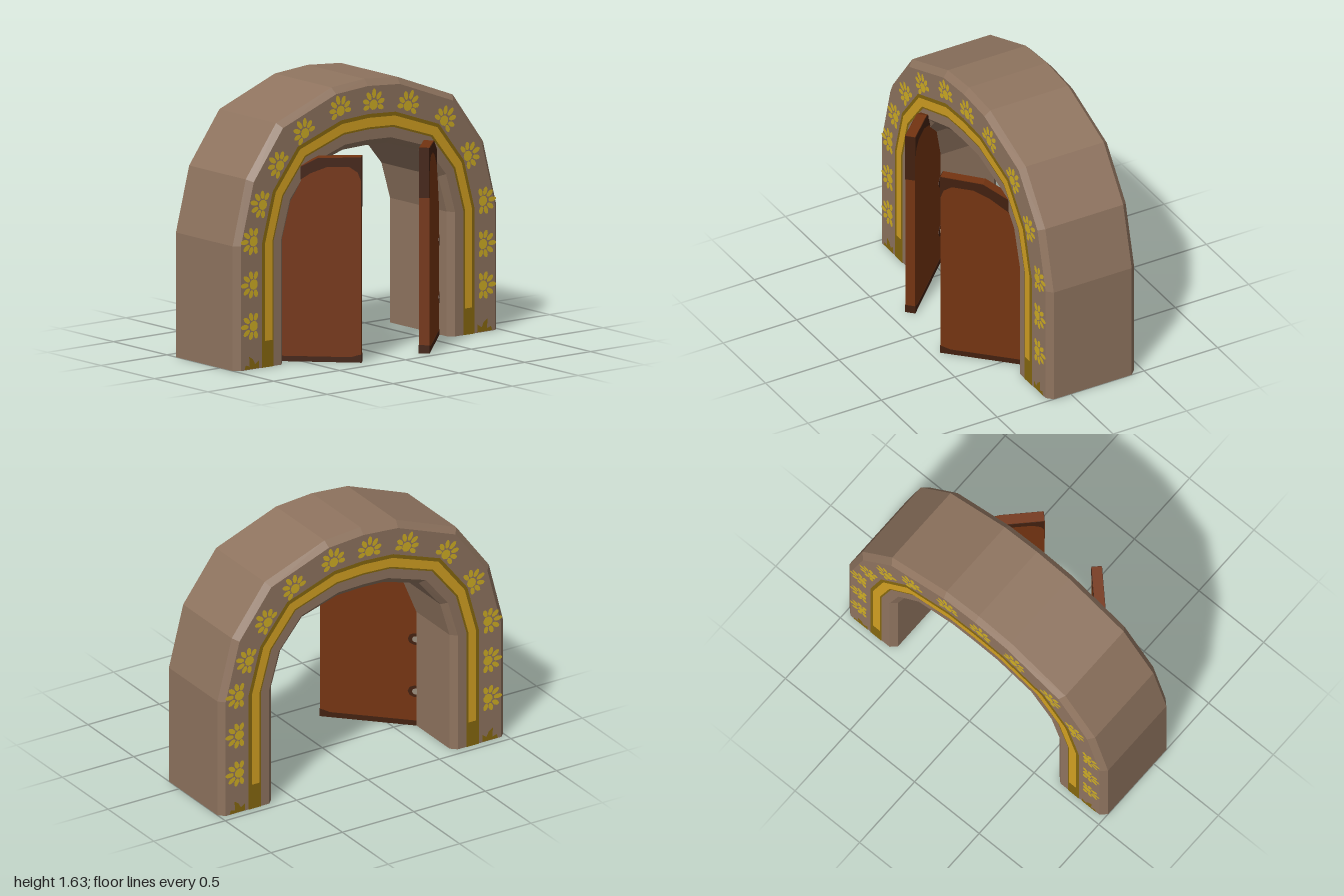
import * as THREE from 'three';

const mat = (name, color, side = THREE.FrontSide) => {
  const m = new THREE.MeshStandardMaterial({ color, side });
  m.name = name;
  return m;
};
const stone = mat('stone', 0x8f745f);
const gold = mat('gold', 0xd2a022);
const petal = mat('petal yellow', 0xd0ae24);
const olive = mat('dark olive', 0x86680f);
const wood = mat('wood', 0x743411);
const darkWood = mat('dark wood', 0x42200f);
const iron = mat('hinge grey', 0x988b7a);

// Arch stations on the right half: outer x, y, inner x, y
const half = [
  [1, 0, 0.625, 0], [1, 0.75, 0.625, 0.75], [0.9, 1.14, 0.56, 0.97],
  [0.67, 1.45, 0.41, 1.15], [0.25, 1.61, 0.165, 1.225],
];
const stations = [...half, [0, 1.63, 0, 1.23],
  ...half.slice().reverse().map(([a, b, c, d]) => [-a, b, -c, d])];

// Point on a station: f = 0 at the outer edge, 1 at the inner edge
const at = ([ox, oy, ix, iy], f, z) => [ox + (ix - ox) * f, oy + (iy - oy) * f, z];

function facets(triangles) {
  const g = new THREE.BufferGeometry();
  g.setAttribute('position', new THREE.Float32BufferAttribute(triangles.flat(), 3));
  g.computeVertexNormals();
  return g;
}

// Surface strip that follows the arch between two lines (f, z)
function strip(path, [f0, z0], [f1, z1]) {
  const t = [];
  for (let i = 0; i < path.length - 1; i++) {
    const a = at(path[i], f0, z0), b = at(path[i + 1], f0, z0);
    const c = at(path[i + 1], f1, z1), d = at(path[i], f1, z1);
    t.push(a, b, c, a, c, d);
  }
  return t;
}

function add(parent, name, geometry, material) {
  const m = new THREE.Mesh(geometry, material);
  m.name = name;
  parent.add(m);
  return m;
}

const polygon = (points, m = 1) =>
  new THREE.Shape(points.map(([x, y]) => new THREE.Vector2(x * m, y)));

// Bevelled stone arch with closed feet
function archGeometry() {
  const ring = [[0, 0.115], [0.095, 0.15], [0.905, 0.15], [1, 0.115],
    [1, -0.415], [0.905, -0.45], [0.095, -0.45], [0, -0.415]];
  const t = [];
  ring.forEach((p, i) => t.push(...strip(stations, p, ring[(i + 1) % 8])));
  const first = ring.map(([f, z]) => at(stations[0], f, z));
  const last = ring.map(([f, z]) => at(stations[stations.length - 1], f, z));
  for (let i = 1; i < 7; i++) {
    t.push(first[0], first[i], first[i + 1], last[0], last[i + 1], last[i]);
  }
  return facets(t);
}

// Round heart with a fan of petals, pointing along local +y
function flower(parent, x, y, angle, size, material) {
  const g = new THREE.Group();
  g.name = 'flower';
  add(g, 'flowerHeart', new THREE.CircleGeometry(0.034, 10), material);
  const petalShape = new THREE.Shape();
  petalShape.absellipse(0, 0.074, 0.0165, 0.032, 0, Math.PI * 2);
  const petalGeo = new THREE.ShapeGeometry(petalShape, 5);
  for (let i = -3; i <= 3; i++) {
    const p = add(g, 'petal', petalGeo, material);
    p.rotation.z = i * 0.62;
    p.scale.y = 1 - 0.06 * Math.abs(i);
  }
  g.position.set(x, y, 0.153);
  g.rotation.z = angle;
  g.scale.setScalar(size);
  parent.add(g);
}

// Painted band and flowers for one face of the arch
function decoration() {
  const g = new THREE.Group();
  g.name = 'paintedFace';
  add(g, 'bandOutline', facets(strip(stations, [0.515, 0.153], [0.745, 0.153])), olive);
  const raised = stations.map((s) => (s[1] === 0 ? [s[0], 0.16, s[2], 0.16] : s));
  add(g, 'goldBand', facets(strip(raised, [0.572, 0.156], [0.715, 0.156])), gold);

  const spots = [
    [-0.87, 0.26], [-0.87, 0.51], [-0.87, 0.77], [-0.8, 0.98], [-0.67, 1.2],
    [-0.48, 1.37], [-0.21, 1.47], [0.04, 1.475], [0.3, 1.435], [0.575, 1.31],
    [0.755, 1.075], [0.87, 0.79], [0.87, 0.53], [0.87, 0.28],
  ];
  for (const [x, y] of spots) {
    flower(g, x, y, Math.atan2(-x, Math.max(y - 0.75, 0)), 0.93, petal);
  }
  // Faded patches at the feet
  for (const m of [-1, 1]) {
    const patch = polygon([[0.83, 0.004], [0.94, 0.004], [0.93, 0.03], [0.9, 0.02],
      [0.905, 0.08], [0.875, 0.06], [0.86, 0.03], [0.83, 0.05]], m);
    add(g, 'footPatch', new THREE.ShapeGeometry(patch), olive).position.z = 0.153;
  }
  return g;
}

// Door leaf: local x runs from the free edge to the hinge, m mirrors it
function door(name, m, x, z) {
  const g = new THREE.Group();
  g.name = name;
  const slab = (part, points, depth, material) => {
    const geo = new THREE.ExtrudeGeometry(polygon(points, m), { depth, bevelEnabled: false });
    geo.translate(0, 0, -depth / 2);
    add(g, part, geo, material);
  };
  slab('doorLeaf', [[0, 0], [0.69, 0], [0.69, 0.75], [0.62, 0.96], [0.43, 1.135],
    [0.26, 1.225], [0, 1.235]], 0.06, wood);
  slab('topTrim', [[0.001, 1.09], [0.02, 1.14], [0.07, 1.172], [0.2, 1.17], [0.3, 1.13],
    [0.42, 1.05], [0.58, 0.9], [0.615, 0.955], [0.428, 1.131], [0.259, 1.221],
    [0.001, 1.231]], 0.065, darkWood);
  slab('bottomTrim', [[-0.003, -0.004], [0.69, -0.004], [0.69, 0.045], [0.6, 0.028],
    [0.06, 0.028], [0.02, 0.04], [-0.003, 0.045]], 0.065, darkWood);
  slab('edgeTrim', [[-0.003, 0.93], [0, 0.93], [0, 1.233], [-0.003, 1.233]], 0.06, darkWood);
  for (const y of [0.22, 0.565]) {
    const tab = (s, h) => [[0.66, y - h], [0.66, y + h], [s + h, y + h],
      [s + h * 0.3, y + h * 0.7], [s, y], [s + h * 0.3, y - h * 0.7], [s + h, y - h]];
    slab('hingeMount', tab(0.53, 0.037), 0.065, darkWood);
    slab('hinge', tab(0.556, 0.019), 0.069, iron);
  }
  g.position.set(x, 0.004, z);
  g.rotation.y = m * Math.PI / 4;
  return g;
}

export function createModel() {
  const model = new THREE.Group();
  model.name = 'archedGate';
  add(model, 'stoneArch', archGeometry(), stone);

  const front = decoration();
  const back = decoration();
  back.rotation.y = Math.PI;
  back.position.z = -0.3;
  model.add(front, back);

  model.add(door('leftDoor', 1, 0.2075, 0.42), door('rightDoor', -1, -0.235, 0.38));
  return model;
}
